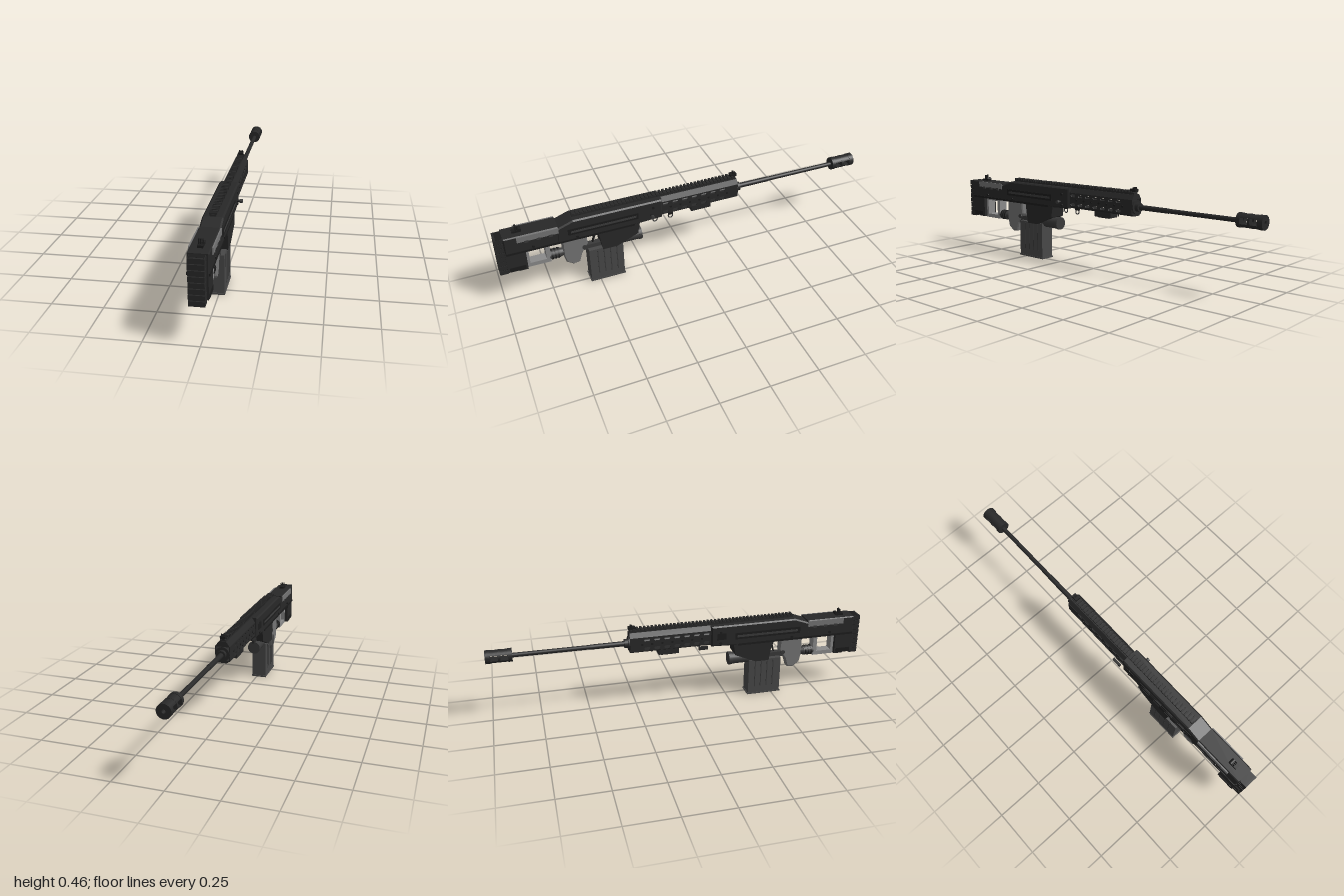
import * as THREE from 'three';

const mat = (name, color, side = THREE.FrontSide) => {
  const m = new THREE.MeshStandardMaterial({ color, side });
  m.name = name;
  return m;
};

export function createModel() {
  const black = mat('black body', 0x282828);
  const deep = mat('deep black trim', 0x1c1c1c);
  const magGrey = mat('magazine grey', 0x484848);
  const gripGrey = mat('grip grey', 0x747474);
  const lightGrey = mat('light grey', 0x8a8a8a);
  const tubeGrey = mat('tube grey', 0x3a3a3a);

  const root = new THREE.Group();
  root.name = 'rifle';
  const g = new THREE.Group();
  g.name = 'rifleParts';
  g.position.x = -0.012;
  root.add(g);

  const add = (name, geo, m, x = 0, y = 0, z = 0) => {
    const mesh = new THREE.Mesh(geo, m);
    mesh.name = name;
    mesh.position.set(x, y, z);
    g.add(mesh);
    return mesh;
  };
  // box given by its centre x, width, and y and z ranges
  const box = (name, m, x, w, y0, y1, z0, z1) =>
    add(name, new THREE.BoxGeometry(w, y1 - y0, Math.abs(z1 - z0)), m, x, (y0 + y1) / 2, (z0 + z1) / 2);
  // side profile of [z, y] points extruded across x
  const shapeOf = (pts) => new THREE.Shape(pts.map(([a, b]) => new THREE.Vector2(a, b)));
  const rect = (z0, z1, y0, y1) => [[z0, y0], [z1, y0], [z1, y1], [z0, y1]];
  const side = (name, m, pts, w, x = 0, holes = [], bevel = 0) => {
    const s = shapeOf(pts);
    holes.forEach((h) => s.holes.push(new THREE.Path(h.map(([a, b]) => new THREE.Vector2(a, b)))));
    const d = w - 2 * bevel;
    const geo = new THREE.ExtrudeGeometry(s, {
      depth: d, bevelEnabled: bevel > 0, bevelSize: bevel, bevelOffset: -bevel, bevelThickness: bevel, bevelSegments: 1,
    });
    geo.translate(0, 0, -d / 2).rotateY(-Math.PI / 2);
    return add(name, geo, m, x);
  };
  // cylinder along z; r0 at z0 and r1 at z1, with z0 > z1
  const rod = (name, m, y, z0, z1, r0, r1 = r0, x = 0) => {
    const geo = new THREE.CylinderGeometry(r0, r1, z0 - z1, 20).rotateX(Math.PI / 2);
    return add(name, geo, m, x, y, (z0 + z1) / 2);
  };
  // cylinder along x
  const pin = (name, m, x0, x1, y, z, r) =>
    add(name, new THREE.CylinderGeometry(r, r, x1 - x0, 14).rotateZ(Math.PI / 2), m, (x0 + x1) / 2, y, z);

  // receiver and upper stock
  side('receiver', black, [[0.70, 0.31], [0.70, 0.395], [0.615, 0.426], [0.15, 0.426], [0.15, 0.315], [0.27, 0.31]], 0.098, 0, [], 0.007);
  side('upperStock', black, [[0.958, 0.31], [0.958, 0.408], [0.69, 0.408], [0.69, 0.31]], 0.094, 0, [], 0.005);
  side('magazineWell', black, [[0.495, 0.33], [0.475, 0.2], [0.40, 0.2], [0.285, 0.25], [0.27, 0.33]], 0.092);
  for (const s of [-1, 1]) {
    box('cheekPanel', gripGrey, s * 0.05, 0.006, 0.375, 0.406, 0.69, 0.895);
    for (let i = 0; i < 3; i++) box('cheekStep', tubeGrey, s * 0.0505, 0.006, 0.366, 0.379, 0.72 + i * 0.06, 0.74 + i * 0.06);
    box('sideTrack', deep, s * 0.0495, 0.004, 0.345, 0.38, 0.28, 0.645);
    box('sideTrackBar', tubeGrey, s * 0.0505, 0.004, 0.356, 0.368, 0.29, 0.63);
    box('lowerRidge', deep, s * 0.046, 0.008, 0.307, 0.318, 0.3, 0.955);
    for (const [y, z] of [[0.39, 0.2], [0.33, 0.2], [0.325, 0.6], [0.33, 0.82]]) pin('bodyPin', deep, s * 0.05 - 0.003, s * 0.05 + 0.003, y, z, 0.007);
  }
  box('sideLug', black, -0.047, 0.012, 0.305, 0.322, 0.08, 0.13);
  box('ejectionPort', deep, -0.0485, 0.004, 0.35, 0.385, 0.18, 0.23);

  // charging handle
  pin('handleStem', deep, 0.045, 0.065, 0.348, 0.21, 0.006);
  pin('handleKnob', tubeGrey, 0.063, 0.077, 0.348, 0.21, 0.0095);

  // butt with ribbed pad
  side('buttBlock', black, [[0.96, 0.2], [0.96, 0.32], [0.86, 0.32], [0.86, 0.195], [0.905, 0.195], [0.91, 0.2]], 0.088);
  box('buttRecess', deep, 0, 0.092, 0.2, 0.225, 0.87, 0.95);
  box('buttPadCore', deep, 0, 0.066, 0.19, 0.405, 0.95, 0.99);
  for (let i = 0; i < 8; i++) box('padRib', black, 0, 0.071, 0.188 + i * 0.0275, 0.212 + i * 0.0275, 0.957, 1.0);

  // open frame behind the grip, and the rear tube
  side('stockFrame', lightGrey, rect(0.74, 0.862, 0.19, 0.315), 0.05, 0, [rect(0.762, 0.845, 0.212, 0.295)]);
  rod('rearTube', tubeGrey, 0.215, 0.745, 0.69, 0.026);
  rod('rearTubeCone', tubeGrey, 0.215, 0.69, 0.64, 0.024, 0.012);
  for (let i = 0; i < 3; i++) rod('rearTubeRing', deep, 0.215, 0.735 - i * 0.016, 0.728 - i * 0.016, 0.028);

  // grip and trigger
  side('grip', gripGrey, [[0.675, 0.31], [0.675, 0.2], [0.665, 0.155], [0.63, 0.13], [0.595, 0.135], [0.58, 0.185], [0.545, 0.24], [0.55, 0.31]], 0.042, 0, [], 0.006);
  box('triggerGuard', tubeGrey, 0, 0.03, 0.2, 0.228, 0.475, 0.575);
  side('trigger', deep, [[0.52, 0.315], [0.5, 0.315], [0.5, 0.27], [0.515, 0.23], [0.52, 0.23], [0.51, 0.27]], 0.012);
  pin('gripPin', tubeGrey, -0.025, 0.025, 0.225, 0.565, 0.012);

  // magazine
  box('magazine', magGrey, 0, 0.078, 0.004, 0.205, 0.367, 0.548);
  box('magazineBase', magGrey, 0, 0.082, 0, 0.008, 0.363, 0.552);
  for (const s of [-1, 1])
    for (let i = 0; i < 4; i++) box('magazineRib', tubeGrey, s * 0.039, 0.004, 0.045, 0.195, 0.40 + i * 0.034, 0.405 + i * 0.034);

  // front tube under the receiver
  rod('frontTube', tubeGrey, 0.215, 0.42, 0.275, 0.032);
  rod('frontTubeCap', tubeGrey, 0.215, 0.275, 0.257, 0.035);

  // slotted handguard
  const slots = [];
  for (let i = 0; i < 7; i++) {
    const z = 0.127 - i * 0.053;
    for (const y of [0.387, 0.339]) {
      slots.push([[z + 0.017, y], [z + 0.012, y + 0.008], [z - 0.012, y + 0.008], [z - 0.017, y], [z - 0.012, y - 0.008], [z + 0.012, y - 0.008]]);
    }
  }
  for (const s of [-1, 1]) {
    side('handguardSide', black, rect(-0.28, 0.155, 0.326, 0.402), 0.005, s * 0.0355, slots);
    for (let i = 0; i < 7; i++) pin('guardStud', deep, s * 0.038 - 0.0015, s * 0.038 + 0.0015, 0.363, 0.1 - i * 0.053, 0.006);
  }
  const crown = (name, pts) => {
    const geo = new THREE.ExtrudeGeometry(shapeOf(pts), { depth: 0.435, bevelEnabled: false });
    add(name, geo, black, 0, 0, -0.28);
  };
  crown('handguardTop', [[-0.038, 0.4], [0.038, 0.4], [0.02, 0.426], [-0.02, 0.426]]);
  crown('handguardFloor', [[-0.038, 0.33], [-0.022, 0.316], [0.022, 0.316], [0.038, 0.33]]);
  rod('handguardCap', black, 0.363, -0.265, -0.285, 0.037);
  box('underBlock', black, 0, 0.05, 0.29, 0.318, -0.13, -0.02);
  box('underBlockFoot', deep, 0, 0.04, 0.286, 0.295, -0.115, -0.035);
  box('underPin', deep, 0, 0.006, 0.302, 0.32, -0.163, -0.158);
  for (const z of [0.185, 0.1]) {
    add('slingRing', new THREE.TorusGeometry(0.012, 0.003, 8, 18).rotateY(Math.PI / 2), tubeGrey, 0.03, 0.301, z);
    box('ringMount', deep, 0.03, 0.012, 0.31, 0.325, z - 0.012, z + 0.012);
  }

  // top rail
  box('railBase', black, 0, 0.03, 0.42, 0.436, -0.275, 0.612);
  for (let i = 0; i < 44; i++) box('railTooth', black, 0, 0.036, 0.433, 0.444, 0.599 - i * 0.02, 0.61 - i * 0.02);

  // sights
  for (const [z, y] of [[-0.268, 0.44], [0.885, 0.405]]) {
    const top = z < 0 ? 0.462 : 0.442;
    box('sightBase', deep, 0, 0.026, y, y + 0.014, z - 0.014, z + 0.022);
    for (const x of [-0.009, 0, 0.009]) box('sightPost', deep, x, 0.004, y, top, z - 0.004, z + 0.006);
  }
  pin('sightDial', deep, -0.014, 0.014, 0.418, 0.87, 0.01);

  // barrel
  rod('barrelCollar', black, 0.363, -0.28, -0.305, 0.023);
  rod('barrelThick', black, 0.363, 0.15, -0.48, 0.0145, 0.013);
  rod('barrelThin', black, 0.363, -0.48, -0.885, 0.0115);

  // muzzle brake: bored discs joined by upper and lower segments
  const ring = (z0, z1, r) => {
    const s = new THREE.Shape().absarc(0, 0, r, 0, Math.PI * 2);
    s.holes.push(new THREE.Path().absarc(0, 0, 0.009, 0, Math.PI * 2));
    add('brakeDisc', new THREE.ExtrudeGeometry(s, { depth: z1 - z0, bevelEnabled: false, curveSegments: 20 }), black, 0, 0.366, z0);
  };
  ring(-1, -0.975, 0.0345);
  ring(-0.938, -0.926, 0.0335);
  ring(-0.888, -0.868, 0.0345);
  for (const a of [0, Math.PI]) {
    const s = new THREE.Shape().absarc(0, 0, 0.0325, a + 0.45, a + Math.PI - 0.45);
    add('brakeBridge', new THREE.ExtrudeGeometry(s, { depth: 0.12, bevelEnabled: false, curveSegments: 16 }), black, 0, 0.366, -0.995);
  }
  return root;
}
